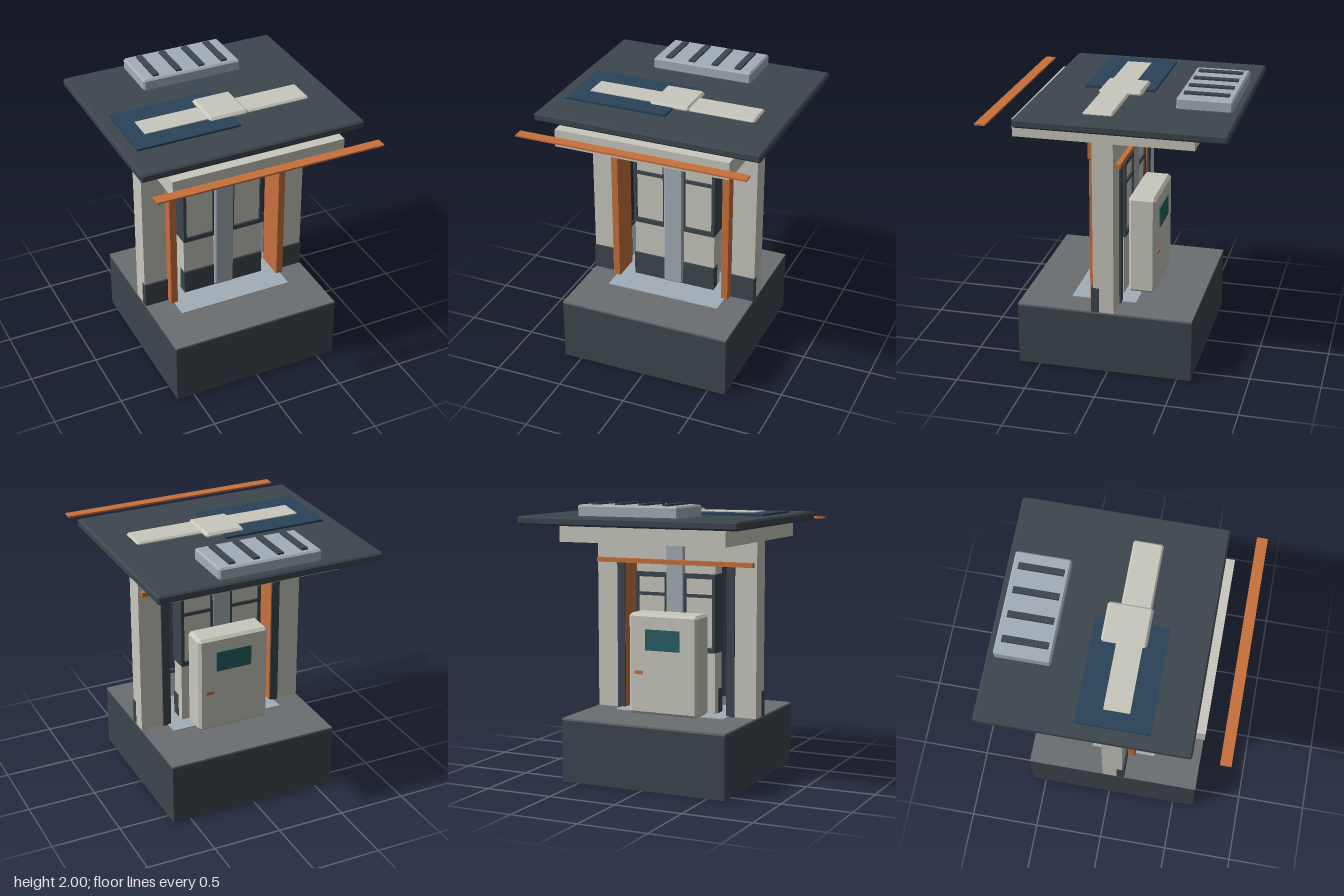
import * as THREE from 'three';
import { ConvexGeometry } from 'three/addons/geometries/ConvexGeometry.js';

const mats = {};
for (const [name, color] of Object.entries({
  dark: 0x3d464e, beige: 0xc8c8be, orange: 0xc8713c, metal: 0xa3aeb6,
  blue: 0x2a4258, paving: 0x6b6f72, yellow: 0xd8b060, teal: 0x2a5f66,
})) mats[name] = new THREE.MeshStandardMaterial({ color, flatShading: true });

// Box with every edge cut off by a chamfer
function chamferBox(w, h, d, c) {
  const pts = [];
  for (const sx of [-1, 1]) for (const sy of [-1, 1]) for (const sz of [-1, 1]) {
    const x = sx * w / 2, y = sy * h / 2, z = sz * d / 2;
    pts.push(
      new THREE.Vector3(x, y - sy * c, z - sz * c),
      new THREE.Vector3(x - sx * c, y, z - sz * c),
      new THREE.Vector3(x - sx * c, y - sy * c, z));
  }
  return new ConvexGeometry(pts);
}

export function createModel() {
  const model = new THREE.Group();
  model.name = 'kiosk';

  // Box given by its limits on each axis, with an optional chamfer
  function block(name, mat, [x0, x1], [y0, y1], [z0, z1], chamfer = 0, parent = model) {
    const w = x1 - x0, h = y1 - y0, d = z1 - z0;
    const geo = chamfer ? chamferBox(w, h, d, chamfer) : new THREE.BoxGeometry(w, h, d);
    const mesh = new THREE.Mesh(geo, mats[mat]);
    mesh.position.set((x0 + x1) / 2, (y0 + y1) / 2, (z0 + z1) / 2);
    mesh.name = name;
    parent.add(mesh);
    return mesh;
  }
  // The same block on both sides of x = 0
  function pair(name, mat, [x0, x1], y, z, chamfer = 0, parent = model) {
    block(name + 'Left', mat, [x0, x1], y, z, chamfer, parent);
    block(name + 'Right', mat, [-x1, -x0], y, z, chamfer, parent);
  }

  // Plinth and floor
  block('plinth', 'dark', [-0.63, 0.63], [0, 0.447], [-0.6, 0.655]);
  block('floorSlab', 'paving', [-0.63, 0.63], [0.447, 0.461], [-0.6, 0.655]);
  block('threshold', 'metal', [-0.43, 0.43], [0.46, 0.467], [-0.16, 0.31]);

  // Side walls, header and ceiling
  pair('wall', 'beige', [0.45, 0.63], [0.46, 1.715], [-0.045, 0.102]);
  pair('wallKickPlate', 'dark', [0.455, 0.631], [0.46, 0.645], [0.06, 0.116]);
  block('header', 'beige', [-0.45, 0.45], [1.55, 1.715], [-0.045, 0.102]);
  block('ceiling', 'beige', [-0.63, 0.63], [1.715, 1.84], [-0.6, 0.655]);

  // Portal around the opening
  pair('portalPost', 'orange', [0.4, 0.455], [0.46, 1.56], [-0.045, 0.17], 0.004);
  pair('rearJamb', 'dark', [0.405, 0.465], [0.46, 1.55], [-0.057, -0.04]);
  block('portalLintel', 'orange', [-0.5, 0.5], [1.545, 1.69], [0.105, 0.165], 0.004);
  block('lintelStrip', 'yellow', [-0.285, 0.285], [1.605, 1.635], [0.16, 0.18]);
  block('rearBar', 'orange', [-0.615, 0.615], [1.537, 1.57], [-0.093, -0.058]);

  // Central column
  block('column', 'metal', [-0.075, 0.075], [0.465, 1.705], [-0.06, 0.11], 0.012);
  block('columnCapital', 'beige', [-0.13, 0.13], [1.706, 1.716], [-0.1, 0.155]);

  // Door leaves with framed windows
  const doors = new THREE.Group();
  doors.name = 'doors';
  model.add(doors);
  pair('doorLeaf', 'beige', [0.06, 0.31], [0.465, 1.56], [-0.04, 0.08], 0, doors);
  pair('doorKickPlate', 'dark', [0.06, 0.313], [0.465, 0.645], [0.02, 0.095], 0, doors);
  const frameZ = [-0.055, 0.096];
  for (const [y0, y1] of [[0.91, 0.945], [1.305, 1.328], [1.44, 1.475]])
    pair('windowRail', 'dark', [0.07, 0.313], [y0, y1], frameZ, 0, doors);
  for (const x of [[0.065, 0.084], [0.291, 0.314]])
    pair('windowStile', 'dark', x, [0.91, 1.475], frameZ, 0, doors);

  // Service cabinet at the back
  const cabinet = new THREE.Group();
  cabinet.name = 'cabinet';
  model.add(cabinet);
  block('cabinetBody', 'beige', [-0.27, 0.27], [0.468, 1.197], [-0.26, -0.062], 0.02, cabinet);
  block('cabinetScreen', 'teal', [-0.135, 0.135], [0.935, 1.085], [-0.267, -0.255], 0, cabinet);
  block('cabinetHandle', 'orange', [0.16, 0.22], [0.758, 0.784], [-0.267, -0.255], 0, cabinet);

  // Roof slab and front trim
  block('roof', 'dark', [-0.82, 0.82], [1.842, 1.902], [-0.85, 0.595], 0.012);
  block('frontTrim', 'orange', [-0.82, 0.82], [1.84, 1.852], [0.777, 0.852]);

  // Roof vent with slots
  block('ventBox', 'metal', [-0.375, 0.372], [1.9, 1.987], [-0.8, -0.415], 0.012);
  for (let i = 0; i < 4; i++) {
    const x = -0.267 + i * 0.176;
    block('ventSlot' + (i + 1), 'dark', [x - 0.023, x + 0.023], [1.98, 2], [-0.76, -0.447]);
  }

  // Flat panel and stepped strips on the roof
  block('roofPanel', 'blue', [-0.725, 0.028], [1.9, 1.917], [-0.195, 0.307]);
  block('roofStripRight', 'beige', [-0.607, -0.13], [1.905, 1.923], [-0.025, 0.152]);
  block('roofStripLeft', 'beige', [0.12, 0.62], [1.895, 1.923], [-0.042, 0.167], 0.012);
  block('roofHub', 'beige', [-0.142, 0.147], [1.895, 1.935], [-0.13, 0.18], 0.016);

  return model;
}
